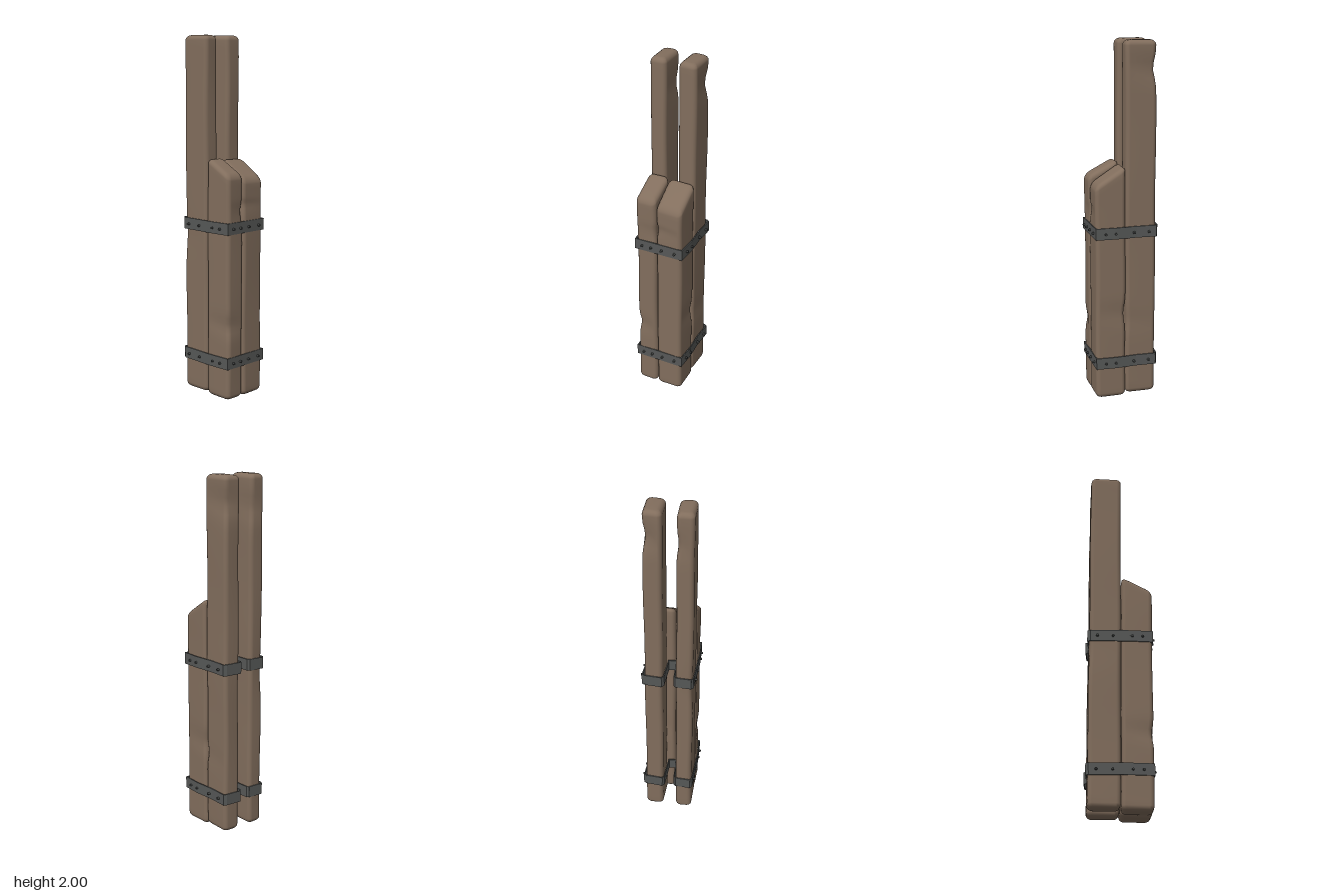
import * as THREE from 'three';

const wood = new THREE.MeshStandardMaterial({ color: 0x826e5d });
wood.name = 'weathered wood';
const iron = new THREE.MeshStandardMaterial({ color: 0x565857 });
iron.name = 'iron';
const darkIron = new THREE.MeshStandardMaterial({ color: 0x444645 });
darkIron.name = 'dark iron';

// Rounded timber lofted upwards; slope lowers the front of the top end, dents chip the corners
function timber(name, { x0, x1, z0, z1, y0, y1, slope = 0, dents = [], seed }) {
  const cx = (x0 + x1) / 2, cz = (z0 + z1) / 2, hx = (x1 - x0) / 2, hz = (z1 - z0) / 2;
  const e = 0.028, r = 0.024, arc = 4, mid = 44;
  const levels = [];
  for (let k = 0; k <= 4; k++) {
    const a = (k / 4) * Math.PI / 2;
    levels.push([y0 + e * (1 - Math.sin(a)), e * (1 - Math.cos(a))]);
  }
  levels.reverse();
  levels.forEach((l) => { l[1] = e - Math.sqrt(Math.max(0, e * e - (e - (l[0] - y0)) ** 2)); });
  levels.sort((a, b) => a[0] - b[0]);
  const top = levels.map(([y, d]) => [y1 - (y - y0), d]).reverse();
  for (let k = 1; k < mid; k++) levels.push([y0 + e + (y1 - y0 - 2 * e) * k / mid, 0]);
  levels.push(...top);

  const pos = [], idx = [];
  const add = (x, y, z, sx, sz) => {
    // Hand-hewn waviness and chipped corners
    let px = x + 0.0015 * Math.sin(y * 9 + seed + sz * 2);
    let pz = z + 0.0015 * Math.sin(y * 7 + seed * 2 + sx * 2);
    for (const [dy, dx, dz, depth, width] of dents) {
      if (dx !== sx || dz !== sz) continue;
      const g = depth * Math.exp(-(((y - dy) / width) ** 2));
      px -= sx * g;
      pz -= sz * g;
    }
    const s = THREE.MathUtils.smoothstep(y, y1 - 0.16, y1 - e);
    const f = THREE.MathUtils.clamp((z - z0) / (z1 - z0), 0, 1);
    pos.push(cx + px, y - slope * f * s, pz + cz);
  };
  const signs = [[1, 1], [-1, 1], [-1, -1], [1, -1]];
  const n = 4 * (arc + 1);
  for (const [y, d] of levels) {
    signs.forEach(([sx, sz], q) => {
      for (let k = 0; k <= arc; k++) {
        const a = (q + k / arc) * Math.PI / 2;
        add(sx * (hx - r - d * 0.6) + (r - d * 0.4) * Math.cos(a), y,
          sz * (hz - r - d * 0.6) + (r - d * 0.4) * Math.sin(a), sx, sz);
      }
    });
  }
  // Slope is measured from the timber's own centre line
  for (let i = 0; i < pos.length; i += 3) {
    const s = THREE.MathUtils.smoothstep(pos[i + 1], y1 - 0.16 - slope, y1);
    if (slope && s > 0) {
      const f = THREE.MathUtils.clamp((pos[i + 2] - z0) / (z1 - z0), 0, 1);
      const level = levels[Math.floor(i / 3 / n)][0];
      pos[i + 1] = level - slope * f * THREE.MathUtils.smoothstep(level, y1 - 0.3, y1 - e);
    }
  }
  for (let j = 0; j < levels.length - 1; j++) {
    for (let i = 0; i < n; i++) {
      const a = j * n + i, b = j * n + (i + 1) % n, c = a + n, d = b + n;
      idx.push(a, c, d, a, d, b);
    }
  }
  // End caps
  const last = (levels.length - 1) * n, centre = pos.length / 3;
  pos.push(cx, y0, cz, cx, y1 - slope / 2, cz);
  for (let i = 0; i < n; i++) {
    const k = (i + 1) % n;
    idx.push(centre, i, k, centre + 1, last + k, last + i);
  }
  const g = new THREE.BufferGeometry();
  g.setAttribute('position', new THREE.Float32BufferAttribute(pos, 3));
  g.setIndex(idx);
  g.computeVertexNormals();
  const mesh = new THREE.Mesh(g, wood);
  mesh.name = name;
  return mesh;
}

// Iron strap: one thin plate per side of its outline, plus rivets
function strap(name, y) {
  const group = new THREE.Group();
  group.name = name;
  const h = 0.064, t = 0.006;
  const path = [
    [-0.141, 0.17], [0.141, 0.168], [0.146, 0.06], [0.138, -0.06], [0.142, -0.17], [0.128, -0.178],
    [0.035, -0.186], [0.024, -0.172], [0.019, -0.026], [-0.027, -0.021], [-0.033, -0.165],
    [-0.043, -0.175], [-0.128, -0.181], [-0.139, -0.168], [-0.146, 0.05],
  ];
  path.forEach(([ax, az], i) => {
    const [bx, bz] = path[(i + 1) % path.length];
    const plate = new THREE.Mesh(
      new THREE.BoxGeometry(Math.hypot(bx - ax, bz - az) + t * 0.7, h, t), iron);
    plate.position.set((ax + bx) / 2, y, (az + bz) / 2);
    plate.rotation.y = -Math.atan2(bz - az, bx - ax);
    plate.name = 'strapPlate';
    group.add(plate);
  });
  const rivetShape = new THREE.CylinderGeometry(0.006, 0.008, 0.018, 8);
  const rivet = (x, z, rx, rz) => {
    const m = new THREE.Mesh(rivetShape, darkIron);
    m.position.set(x, y - 0.002, z);
    m.rotation.set(rx, 0, rz);
    m.name = 'rivet';
    group.add(m);
  };
  for (const x of [-0.1, -0.045, 0.02, 0.098]) rivet(x, 0.175, Math.PI / 2, 0);
  for (const z of [-0.13, -0.045, 0.06, 0.116]) {
    for (const s of [-1, 1]) rivet(s * 0.148, z, 0, -s * Math.PI / 2);
  }
  return group;
}

export function createModel() {
  const model = new THREE.Group();
  model.name = 'strappedTimberPost';
  model.add(
    timber('backRightTimber', {
      x0: -0.135, x1: -0.043, z0: -0.174, z1: -0.002, y0: 0.015, y1: 2, seed: 1,
      dents: [[1.82, 1, -1, 0.01, 0.06], [0.9, -1, -1, 0.004, 0.1]],
    }),
    timber('backLeftTimber', {
      x0: 0.03, x1: 0.131, z0: -0.174, z1: -0.002, y0: 0.015, y1: 2, seed: 2.3,
      dents: [[1.85, 1, -1, 0.014, 0.06], [0.45, 1, 1, 0.006, 0.05]],
    }),
    timber('frontRightTimber', {
      x0: -0.136, x1: -0.019, z0: 0.001, z1: 0.17, y0: 0.005, y1: 1.345, slope: 0.09, seed: 3.7,
      dents: [[0.42, -1, 1, 0.01, 0.05], [1.05, 1, 1, 0.006, 0.06]],
    }),
    timber('frontLeftTimber', {
      x0: -0.017, x1: 0.134, z0: -0.002, z1: 0.168, y0: 0.005, y1: 1.335, slope: 0.11, seed: 5.1,
      dents: [[0.5, 1, -1, 0.009, 0.06], [1.1, -1, 1, 0.007, 0.06]],
    }),
    strap('lowerStrap', 0.218),
    strap('upperStrap', 0.968),
  );
  return model;
}
